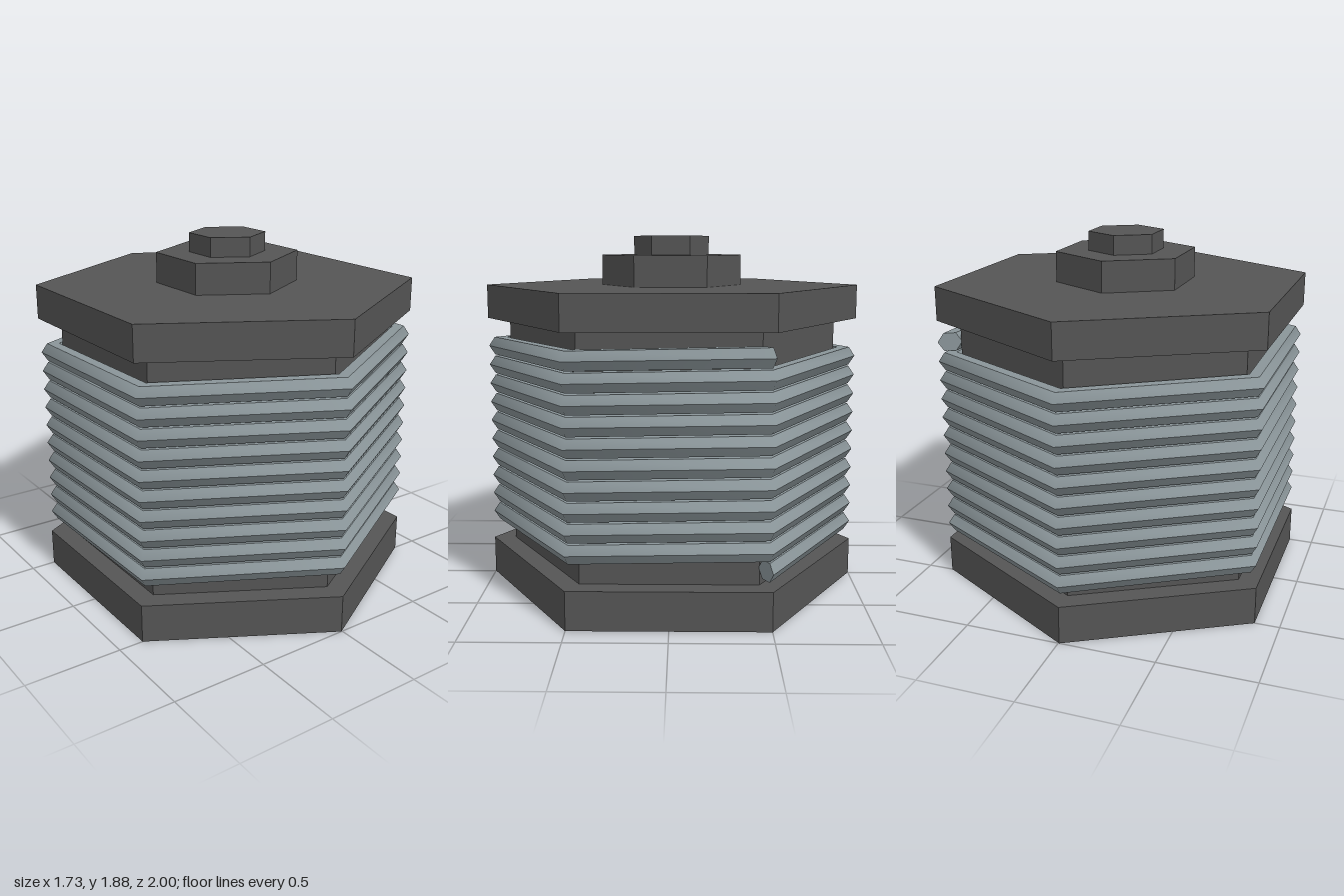
import * as THREE from 'three';

const SIDES = 6;
const TURNS = 10;

// Hexagonal prism with corners on the z axis
function hexPrism(name, radius, bottom, top, material) {
  const geo = new THREE.CylinderGeometry(radius, radius, top - bottom, SIDES);
  const mesh = new THREE.Mesh(geo, material);
  mesh.name = name;
  mesh.position.set(-0.005, (bottom + top) / 2, 0);
  return mesh;
}

// Wire of hexagonal section wound in a rising six-sided helix with mitred corners
function coilGeometry({ radius, wire, startY, pitch }) {
  const positions = [];
  const index = [];
  const steps = SIDES * TURNS;
  const mitre = 1 / Math.cos(Math.PI / SIDES);

  const point = (step, corner) => {
    const a = ((1 - step) * Math.PI) / 3;
    const phi = (corner * Math.PI) / 3;
    const r = radius + wire * mitre * Math.cos(phi);
    const y = startY + (pitch * step) / SIDES + wire * Math.sin(phi);
    return [r * Math.sin(a), y, -r * Math.cos(a)];
  };

  // One strip per wire face: smooth along the wire, sharp between faces
  for (let c = 0; c < 6; c++) {
    const base = positions.length / 3;
    for (let s = 0; s <= steps; s++) {
      positions.push(...point(s, c), ...point(s, c + 1));
      if (s === steps) continue;
      const k = base + s * 2;
      index.push(k, k + 2, k + 1, k + 1, k + 2, k + 3);
    }
  }

  // Flat wire ends
  for (const s of [0, steps]) {
    const base = positions.length / 3;
    for (let c = 0; c < 6; c++) positions.push(...point(s, c));
    for (let c = 1; c < 5; c++) {
      if (s === 0) index.push(base, base + c, base + c + 1);
      else index.push(base, base + c + 1, base + c);
    }
  }

  const geo = new THREE.BufferGeometry();
  geo.setAttribute('position', new THREE.Float32BufferAttribute(positions, 3));
  geo.setIndex(index);
  geo.computeVertexNormals();
  return geo;
}

export function createModel() {
  const group = new THREE.Group();
  group.name = 'hexagonalCoil';
  const dark = new THREE.MeshStandardMaterial({ color: 0x555555, flatShading: true });
  const metal = new THREE.MeshStandardMaterial({ color: 0x8a9599 });

  // Spool body, stacked from the floor up
  group.add(
    hexPrism('basePlate', 1, 0, 0.2, dark),
    hexPrism('core', 0.88, 0.2, 1.44, dark),
    hexPrism('topPlate', 1, 1.44, 1.62, dark),
    hexPrism('nut', 0.372, 1.62, 1.78, dark),
    hexPrism('boltEnd', 0.2, 1.78, 1.88, dark),
  );

  // Winding
  const coil = new THREE.Mesh(
    coilGeometry({ radius: 0.934, wire: 0.055, startY: 0.288, pitch: 0.1035 }),
    metal,
  );
  coil.name = 'coil';
  group.add(coil);

  return group;
}
